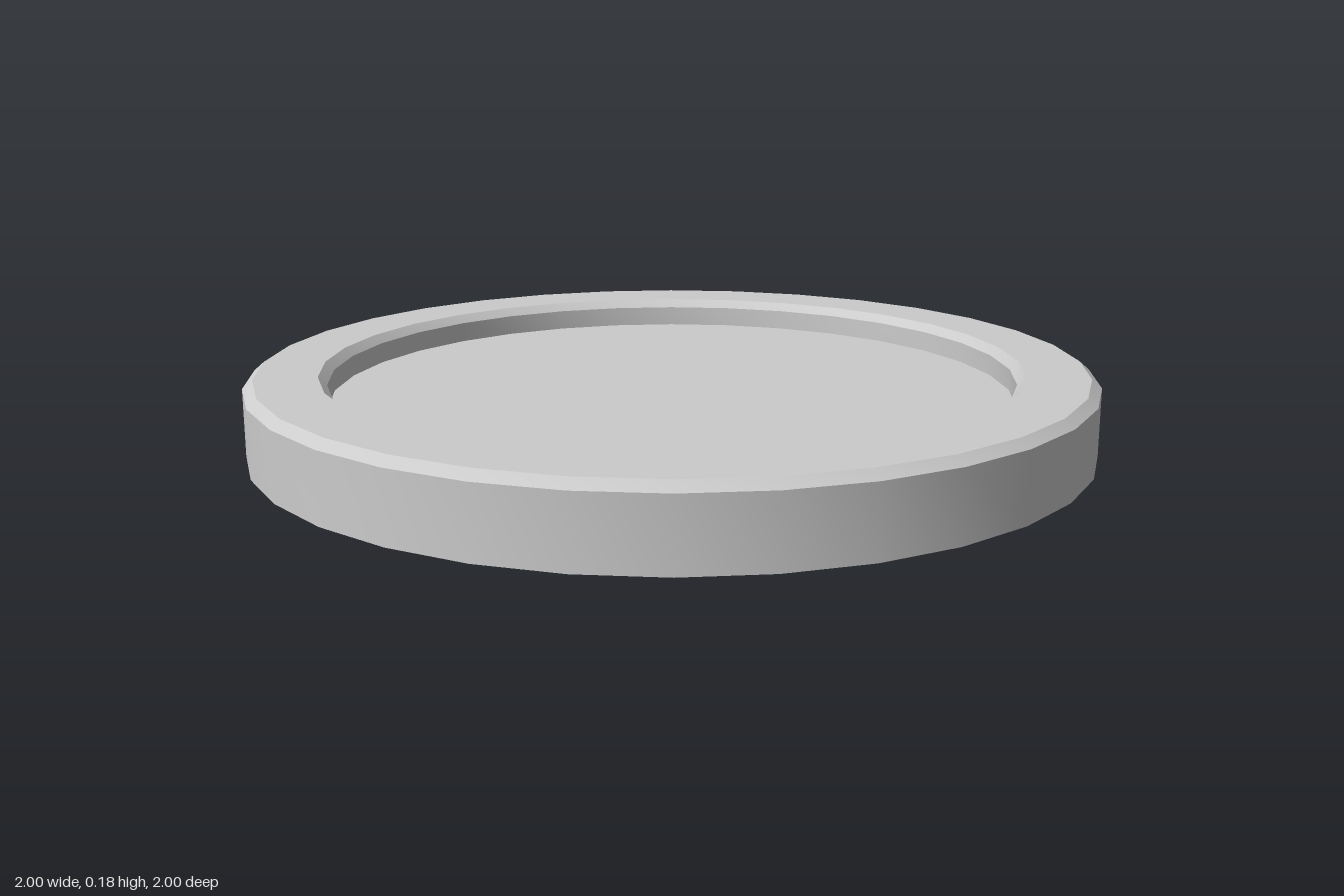
import * as THREE from 'three';
import { toCreasedNormals } from 'three/addons/utils/BufferGeometryUtils.js';

const SIDES = 32;

export function createModel() {
  const group = new THREE.Group();
  group.name = 'shallowDish';
  const material = new THREE.MeshStandardMaterial({ color: 0xcccccc });

  // Closed profile: base, outer wall, bevelled rim, inner wall, recessed floor
  const profile = [
    [0, 0], [1, 0], [1, 0.16], [0.977, 0.18],
    [0.83, 0.18], [0.81, 0.16], [0.81, 0.11], [0, 0.11],
  ].map(([r, y]) => new THREE.Vector2(r, y));

  // Creased normals keep the round walls smooth and the rim edges sharp
  const geometry = toCreasedNormals(new THREE.LatheGeometry(profile, SIDES), Math.PI / 6);
  const dish = new THREE.Mesh(geometry, material);
  dish.name = 'dish';
  group.add(dish);

  return group;
}
